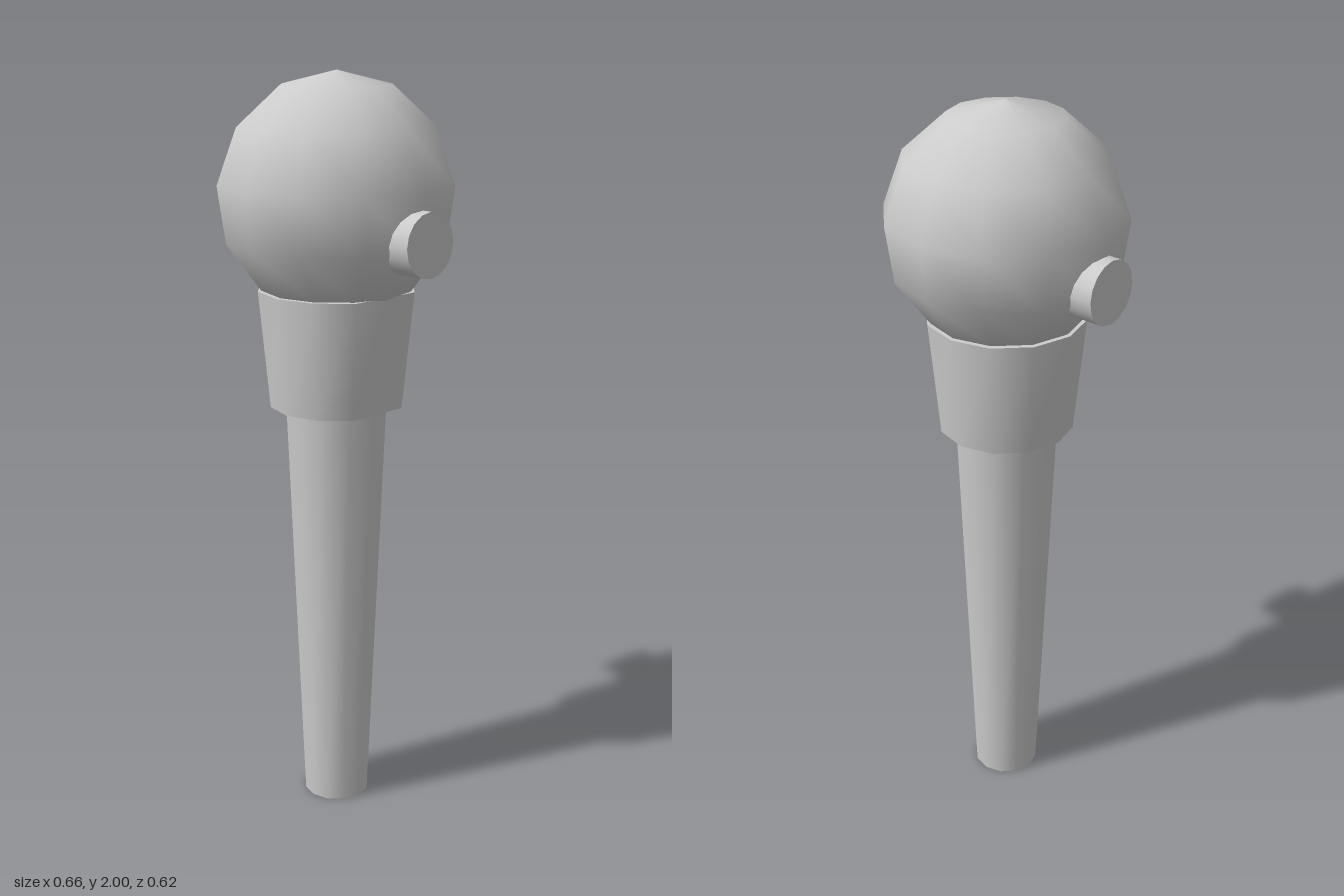
import * as THREE from 'three';
import { toCreasedNormals } from 'three/addons/utils/BufferGeometryUtils.js';

const SIDES = 12;

export function createModel() {
  const model = new THREE.Group();
  model.name = 'knobHandle';
  const material = new THREE.MeshStandardMaterial({ color: 0xcccccc });

  const add = (name, geometry) => {
    const mesh = new THREE.Mesh(geometry, material);
    mesh.name = name;
    model.add(mesh);
    return mesh;
  };

  // Tapered twelve-sided grip
  const grip = new THREE.CylinderGeometry(0.137, 0.09, 1.16, SIDES);
  add('grip', grip).position.y = 0.58;

  // Flared collar, flattened on its left (+x) side
  const top = 0.208, bottom = 0.178, y0 = 1.14, y1 = 1.45;
  const collar = new THREE.CylinderGeometry(top, bottom, y1 - y0, SIDES);
  const p = collar.attributes.position;
  for (let i = 0; i < p.count; i++) {
    const radius = p.getY(i) > 0 ? top : bottom;
    p.setX(i, Math.min(p.getX(i), radius * Math.cos(Math.PI / 6)));
  }
  add('collar', toCreasedNormals(collar, 0.9)).position.y = (y0 + y1) / 2;

  // Round head: rings 28 degrees apart, closed inside the collar
  const R = 0.31, centre = 1.69;
  const profile = [180, 168, 140, 112, 84, 56, 28, 0].map((deg) => {
    const a = THREE.MathUtils.degToRad(deg);
    return new THREE.Vector2(Math.max(0, R * Math.sin(a)), centre + R * Math.cos(a));
  });
  add('head', new THREE.LatheGeometry(profile, SIDES));

  // Round stub on each side of the head
  for (const side of [1, -1]) {
    const stub = new THREE.CylinderGeometry(0.082, 0.082, 0.15, 16);
    stub.rotateZ(-side * Math.PI / 2);
    add(side > 0 ? 'leftStub' : 'rightStub', stub).position.set(side * 0.254, 1.6, 0);
  }

  return model;
}
